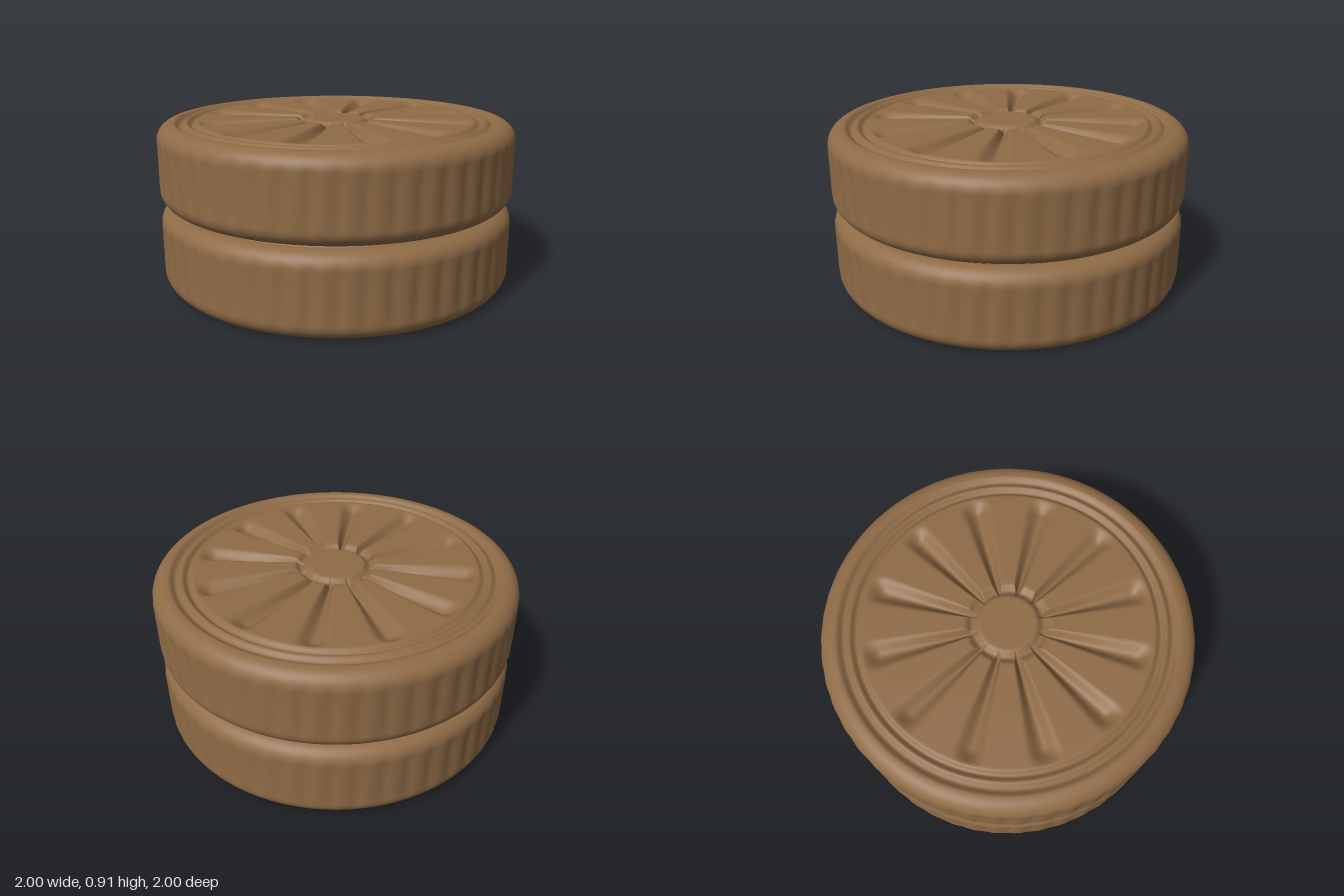
import * as THREE from 'three';
import { mergeVertices } from 'three/addons/utils/BufferGeometryUtils.js';

const HEIGHT = 0.447, CORNER = 0.09;
const SEGMENTS = 384, SPOKES = 12, FLUTES = 48;

// Smooth bump: 1 at the centre, 0 beyond the half-width
const bump = (x, centre, half) => {
  const t = Math.abs(x - centre) / half;
  return t < 1 ? 0.5 + 0.5 * Math.cos(Math.PI * t) : 0;
};

// Depth of the pressed pattern on the top face
function pressDepth(r, angle) {
  const rings = 0.022 * (bump(r, 0.87, 0.035) + bump(r, 0.805, 0.03));
  const hubRing = 0.025 * bump(r, 0.19, 0.04);
  const step = (2 * Math.PI) / SPOKES;
  const offset = angle - Math.round(angle / step) * step;
  const fade = THREE.MathUtils.smoothstep(r, 0.15, 0.2) * (1 - THREE.MathUtils.smoothstep(r, 0.69, 0.785));
  const spoke = 0.045 * bump(offset, 0, 0.125) * fade;
  return Math.max(rings, hubRing, spoke);
}

// Half outline from the bottom centre, round the side, to the top centre
function outline() {
  const points = [new THREE.Vector2(0, 0)];
  const corner = (y, from) => {
    for (let i = 0; i <= 8; i++) {
      const a = from + (i / 8) * Math.PI / 2;
      points.push(new THREE.Vector2(1 - CORNER + CORNER * Math.cos(a), y + CORNER * Math.sin(a)));
    }
  };
  const range = (from, to, count) => {
    for (let i = 0; i < count; i++) {
      points.push(new THREE.Vector2(from + ((to - from) * i) / count, HEIGHT));
    }
  };
  points.push(new THREE.Vector2(0.85, 0));
  corner(CORNER, -Math.PI / 2);
  for (let i = 1; i < 6; i++) {
    points.push(new THREE.Vector2(1, CORNER + ((HEIGHT - 2 * CORNER) * i) / 6));
  }
  corner(HEIGHT - CORNER, 0);
  range(0.9, 0.67, 23);
  range(0.67, 0.24, 10);
  range(0.24, 0.13, 11);
  points.push(new THREE.Vector2(0, HEIGHT));
  return points;
}

function discGeometry() {
  const geometry = new THREE.LatheGeometry(outline(), SEGMENTS);
  const p = geometry.attributes.position;
  for (let i = 0; i < p.count; i++) {
    const x = p.getX(i), y = p.getY(i), z = p.getZ(i);
    const r = Math.hypot(x, z), angle = Math.atan2(x, z);
    if (y > HEIGHT - 0.001) {
      p.setY(i, y - pressDepth(r, angle));
    } else if (r > 0.9) {
      // Shallow flutes that fade out towards the rounded edges
      const fade = THREE.MathUtils.smoothstep(Math.min(y, HEIGHT - y), 0.03, 0.14);
      const scale = 1 - 0.009 * fade * Math.pow(0.5 + 0.5 * Math.cos(angle * FLUTES), 1.5);
      p.setX(i, x * scale);
      p.setZ(i, z * scale);
    }
  }
  // Weld the seam so that the shading runs smoothly all round
  geometry.deleteAttribute('uv');
  geometry.deleteAttribute('normal');
  const welded = mergeVertices(geometry, 1e-5);
  welded.computeVertexNormals();
  return welded;
}

export function createModel() {
  const group = new THREE.Group();
  group.name = 'stackedDiscs';
  const brown = new THREE.MeshStandardMaterial({ color: 0x8f6b46 });
  brown.name = 'brown';
  const geometry = discGeometry();

  // Two identical discs with a thin gap between them
  [['lowerDisc', 0], ['upperDisc', 0.463]].forEach(([name, y]) => {
    const disc = new THREE.Mesh(geometry, brown);
    disc.name = name;
    disc.position.y = y;
    group.add(disc);
  });
  return group;
}
